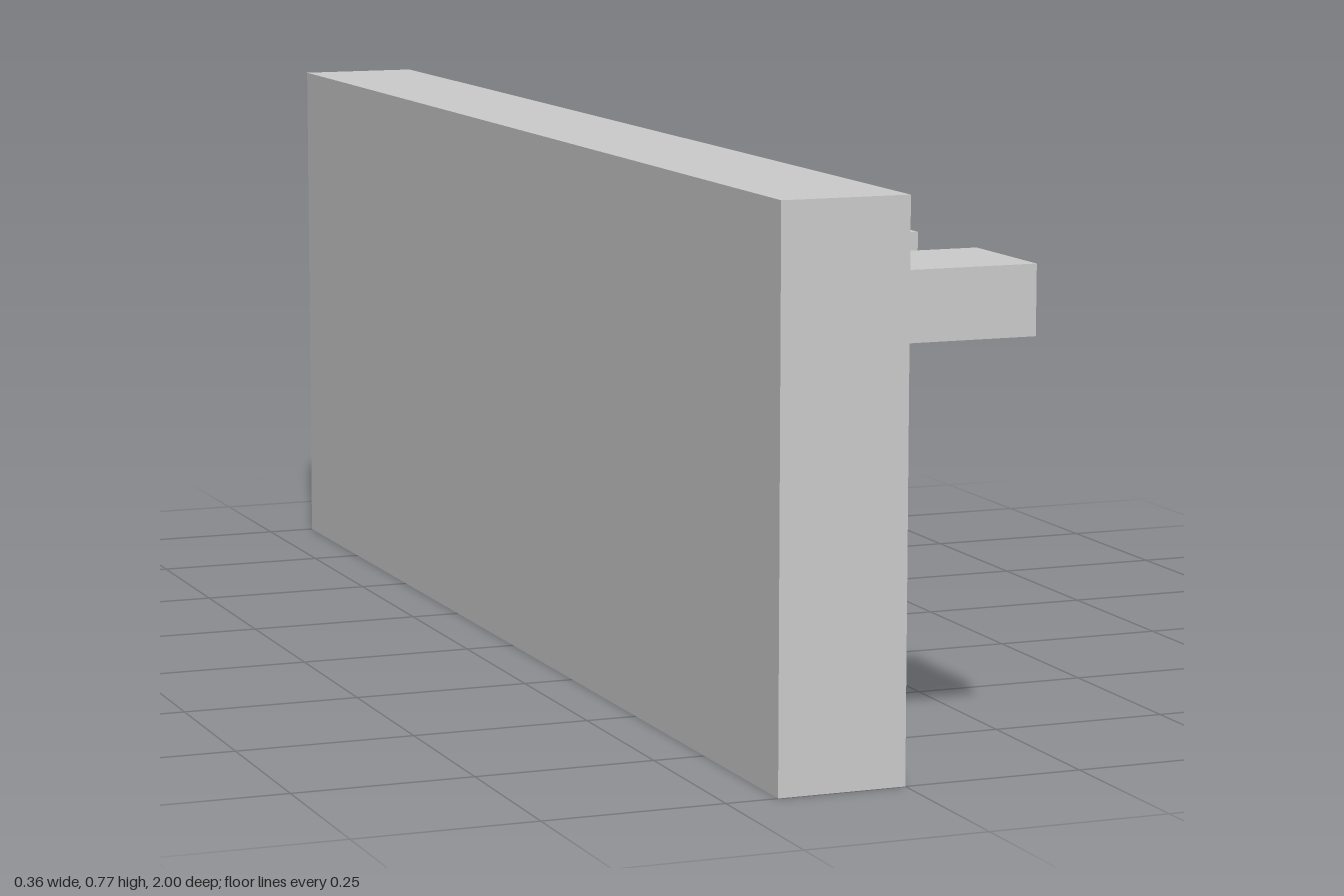
import * as THREE from 'three';

export function createModel() {
  const model = new THREE.Group();
  const material = new THREE.MeshStandardMaterial({ color: 0xcccccc, flatShading: true });

  // Box given by its minimum and maximum on each axis
  const addBox = (name, [x0, x1], [y0, y1], [z0, z1]) => {
    const mesh = new THREE.Mesh(new THREE.BoxGeometry(x1 - x0, y1 - y0, z1 - z0), material);
    mesh.position.set((x0 + x1) / 2, (y0 + y1) / 2, (z0 + z1) / 2);
    mesh.name = name;
    model.add(mesh);
  };

  // Long upright wall
  addBox('wall', [-0.178, 0], [0, 0.767], [-1, 1]);

  // Row of slightly uneven blocks projecting from the wall, back to front
  const blockSpans = [
    [-1, -0.828], [-0.653, -0.48], [-0.305, -0.116],
    [0.077, 0.267], [0.46, 0.637], [0.821, 1],
  ];
  blockSpans.forEach((span, i) => addBox(`block${i + 1}`, [0, 0.178], [0.577, 0.671], span));

  return model;
}
